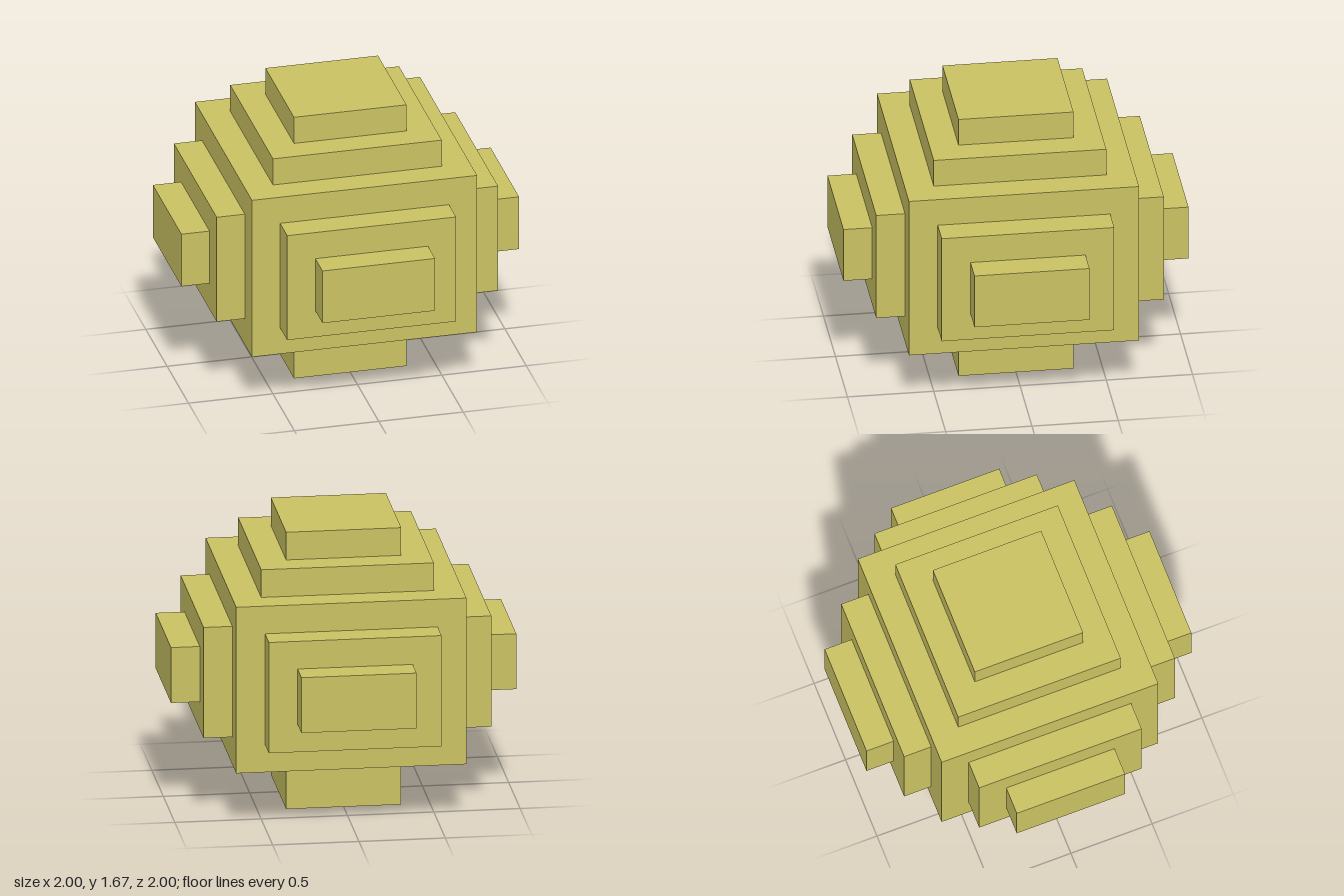
import * as THREE from 'three';

export function createModel() {
  const model = new THREE.Group();
  model.name = 'steppedBlock';

  const olive = new THREE.MeshStandardMaterial({ color: 0xc9c162 });
  olive.name = 'olive yellow';

  const U = 1 / 6; // step size shared by every block

  // Box given by its size and base height, in steps
  function addBox(parent, name, w, h, d, base, z = 0) {
    const mesh = new THREE.Mesh(new THREE.BoxGeometry(w * U, h * U, d * U), olive);
    mesh.name = name;
    mesh.position.set(0, (base + h / 2) * U, z * U);
    parent.add(mesh);
  }

  // Central column: foot, core and two roof steps
  addBox(model, 'foot', 4, 2, 4, 0);
  addBox(model, 'core', 8, 6, 8, 2);
  addBox(model, 'lowerRoofStep', 6, 1, 6, 8);
  addBox(model, 'upperRoofStep', 4, 1, 4, 9);

  // Two stacked steps on each of the four sides
  ['front', 'left', 'back', 'right'].forEach((side, i) => {
    const steps = new THREE.Group();
    steps.name = side + 'Steps';
    addBox(steps, side + 'InnerStep', 6, 4, 1, 3, 4.5);
    addBox(steps, side + 'OuterStep', 4, 2, 1, 4, 5.5);
    steps.rotation.y = (i * Math.PI) / 2;
    model.add(steps);
  });

  return model;
}
